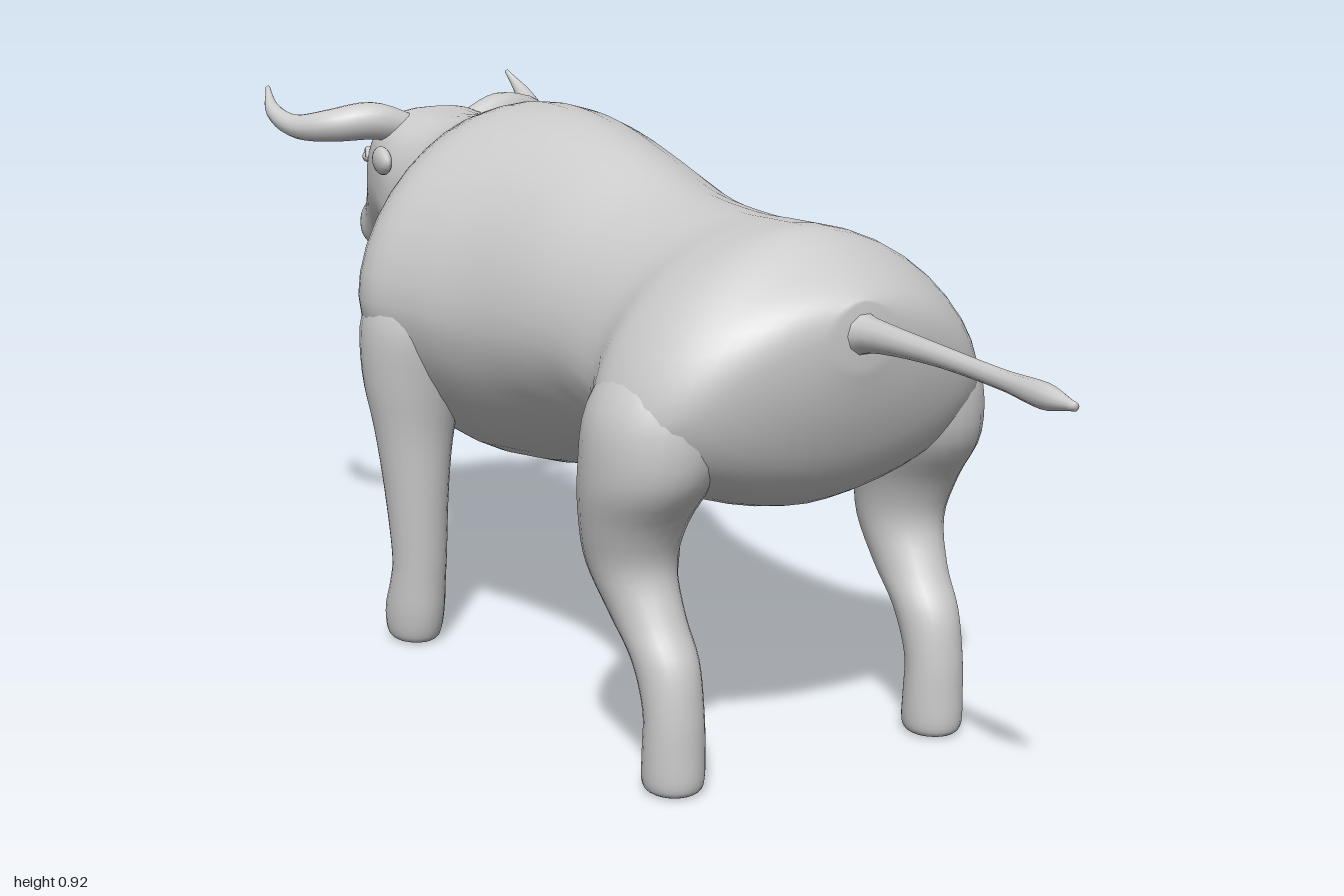
import * as THREE from 'three';

const grey = new THREE.MeshStandardMaterial({ color: 0xcccccc });

function add(group, geometry, name) {
  const mesh = new THREE.Mesh(geometry, grey);
  mesh.name = name;
  group.add(mesh);
  return mesh;
}

// Smooth value between rows of numbers (Catmull-Rom per column)
function blend(rows, t) {
  const n = rows.length - 1;
  const i = Math.min(Math.floor(t), n - 1), f = t - i;
  const [a, b, c, d] = [rows[Math.max(i - 1, 0)], rows[i], rows[i + 1], rows[Math.min(i + 2, n)]];
  return b.map((_, k) => 0.5 * (2 * b[k] + (c[k] - a[k]) * f
    + (2 * a[k] - 5 * b[k] + 4 * c[k] - d[k]) * f * f
    + (3 * b[k] - a[k] - 3 * c[k] + d[k]) * f * f * f));
}

// Closed skin over smoothly blended cross-sections, point(row, angle) -> [x, y, z]
function loft(rows, point, segs = 24, steps = 4) {
  const pos = [], idx = [], rings = (rows.length - 1) * steps + 1;
  for (let i = 0; i < rings; i++) {
    const row = blend(rows, i / steps);
    for (let j = 0; j < segs; j++) pos.push(...point(row, j / segs * Math.PI * 2));
  }
  const at = (i, j) => i * segs + (j % segs);
  for (let i = 0; i < rings - 1; i++) for (let j = 0; j < segs; j++) {
    idx.push(at(i, j), at(i + 1, j), at(i, j + 1), at(i, j + 1), at(i + 1, j), at(i + 1, j + 1));
  }
  // End caps
  for (const [ring, flip] of [[0, false], [rings - 1, true]]) {
    const c = [0, 0, 0];
    for (let j = 0; j < segs; j++) for (let k = 0; k < 3; k++) c[k] += pos[at(ring, j) * 3 + k] / segs;
    const centre = pos.length / 3;
    pos.push(...c);
    for (let j = 0; j < segs; j++) {
      idx.push(centre, flip ? at(ring, j + 1) : at(ring, j), flip ? at(ring, j) : at(ring, j + 1));
    }
  }
  // Turn the faces outward if the volume comes out negative
  const v = k => new THREE.Vector3().fromArray(pos, k * 3);
  let volume = 0;
  for (let k = 0; k < idx.length; k += 3) volume += v(idx[k]).dot(v(idx[k + 1]).cross(v(idx[k + 2])));
  if (volume < 0) idx.reverse();
  const g = new THREE.BufferGeometry();
  g.setAttribute('position', new THREE.Float32BufferAttribute(pos, 3));
  g.setIndex(idx);
  g.computeVertexNormals();
  return g;
}

const power = (v, n) => Math.sign(v) * Math.pow(Math.abs(v), 2 / n);

// Upright section: z, bottom, top, height of widest point, half width, lower roundness.
// The back is slightly ridged, the crown of the head squarer.
function trunkPoint([z, lo, hi, mid, w, n], a) {
  const s = Math.sin(a);
  const e = s > 0 ? 1.8 + 1.1 * THREE.MathUtils.smoothstep(-z, 0.58, 0.8) : n;
  return [w * power(Math.cos(a), e), mid + (s > 0 ? hi - mid : mid - lo) * power(s, e), z];
}

const trunk = [
  [0.54, 0.64, 0.735, 0.69, 0.05, 2],
  [0.515, 0.55, 0.755, 0.65, 0.16, 2],
  [0.47, 0.46, 0.782, 0.59, 0.258, 1.9],
  [0.40, 0.405, 0.82, 0.55, 0.313, 1.7],
  [0.31, 0.395, 0.822, 0.55, 0.318, 1.7],
  [0.21, 0.395, 0.82, 0.58, 0.262, 1.8],
  [0.05, 0.395, 0.835, 0.60, 0.238, 1.9],
  [-0.10, 0.37, 0.88, 0.60, 0.243, 1.9],
  [-0.22, 0.33, 0.91, 0.60, 0.262, 1.8],
  [-0.33, 0.312, 0.922, 0.61, 0.297, 1.7],
  [-0.43, 0.305, 0.92, 0.61, 0.325, 1.65],
  [-0.52, 0.34, 0.90, 0.61, 0.282, 1.75],
  [-0.60, 0.41, 0.88, 0.63, 0.192, 1.9],
  [-0.67, 0.50, 0.872, 0.67, 0.15, 2],
  [-0.74, 0.57, 0.872, 0.715, 0.137, 2],
  [-0.80, 0.59, 0.872, 0.74, 0.125, 2],
  [-0.85, 0.59, 0.845, 0.735, 0.11, 2],
  [-0.90, 0.582, 0.775, 0.69, 0.087, 2.1],
  [-0.94, 0.575, 0.715, 0.645, 0.073, 2.2],
  [-0.975, 0.588, 0.68, 0.635, 0.066, 2.2],
  [-0.993, 0.605, 0.657, 0.633, 0.045, 2.2],
  [-1.0, 0.62, 0.645, 0.633, 0.02, 2],
];

// Legs: y, x, z, half width, half depth; the tops sink into the body
const frontLeg = [
  [0.74, 0.16, -0.41, 0.03, 0.04],
  [0.67, 0.195, -0.412, 0.075, 0.085],
  [0.58, 0.227, -0.415, 0.094, 0.108],
  [0.48, 0.238, -0.418, 0.088, 0.092],
  [0.38, 0.243, -0.413, 0.068, 0.068],
  [0.28, 0.243, -0.41, 0.055, 0.057],
  [0.16, 0.24, -0.41, 0.047, 0.047],
  [0.11, 0.24, -0.418, 0.047, 0.05],
  [0.06, 0.24, -0.431, 0.049, 0.058],
  [0.02, 0.24, -0.436, 0.045, 0.054],
  [0.004, 0.24, -0.436, 0.035, 0.043],
  [0.002, 0.24, -0.436, 0.015, 0.02],
];
const hindLeg = [
  [0.74, 0.13, 0.35, 0.03, 0.04],
  [0.67, 0.175, 0.35, 0.085, 0.085],
  [0.58, 0.222, 0.35, 0.108, 0.115],
  [0.48, 0.243, 0.342, 0.098, 0.115],
  [0.40, 0.25, 0.315, 0.08, 0.088],
  [0.33, 0.248, 0.305, 0.066, 0.075],
  [0.26, 0.243, 0.34, 0.054, 0.066],
  [0.20, 0.24, 0.386, 0.049, 0.055],
  [0.13, 0.24, 0.409, 0.046, 0.045],
  [0.07, 0.24, 0.41, 0.047, 0.047],
  [0.02, 0.24, 0.408, 0.046, 0.049],
  [0.004, 0.24, 0.408, 0.036, 0.039],
  [0.002, 0.24, 0.408, 0.015, 0.018],
];

// Tapering round form along a curve: x, y, z, radius
function taper(rows, side, segs) {
  const curve = new THREE.CatmullRomCurve3(rows.map(r => new THREE.Vector3(r[0] * side, r[1], r[2])));
  const n = 24, frames = curve.computeFrenetFrames(n), centre = [];
  for (let i = 0; i <= n; i++) centre.push([i]);
  return loft(centre, ([f], a) => {
    const i = Math.round(f), u = i / n;
    const r = blend(rows, u * (rows.length - 1))[3];
    const p = curve.getPoint(u);
    p.addScaledVector(frames.normals[i], Math.cos(a) * r).addScaledVector(frames.binormals[i], Math.sin(a) * r);
    return p.toArray();
  }, segs, 1);
}

const hornPath = [
  [0.05, 0.835, -0.77, 0.026],
  [0.13, 0.856, -0.782, 0.034],
  [0.20, 0.849, -0.81, 0.029],
  [0.243, 0.845, -0.865, 0.021],
  [0.258, 0.868, -0.925, 0.014],
  [0.248, 0.905, -0.968, 0.004],
];
const tailPath = [
  [0, 0.685, 0.50, 0.045],
  [0, 0.69, 0.555, 0.026],
  [0, 0.69, 0.70, 0.016],
  [0, 0.683, 0.85, 0.014],
  [0, 0.678, 0.94, 0.018],
  [0, 0.676, 0.998, 0.006],
];

export function createModel() {
  const bull = new THREE.Group();
  bull.name = 'bull';
  add(bull, loft(trunk, trunkPoint, 40), 'bodyAndHead');
  add(bull, taper(tailPath, 1, 10), 'tail');

  for (const side of [1, -1]) {
    const tag = side > 0 ? 'Left' : 'Right';
    for (const [rows, name] of [[frontLeg, 'headEndLeg'], [hindLeg, 'tailEndLeg']]) {
      const ring = ([y, x, z, w, d], a) => [side * (x + w * Math.cos(a)), y, z + d * Math.sin(a)];
      add(bull, loft(rows, ring), name + tag);
    }
    add(bull, taper(hornPath, side, 14), 'horn' + tag);

    // Ear hanging back from the side of the poll
    const ear = add(bull, new THREE.SphereGeometry(1, 16, 12), 'ear' + tag);
    ear.scale.set(0.015, 0.025, 0.042);
    ear.position.set(side * 0.149, 0.795, -0.705);
    ear.rotation.y = side * 0.2;

    // Eye with a raised lid
    const eye = add(bull, new THREE.SphereGeometry(1, 14, 10), 'eye' + tag);
    eye.scale.set(0.01, 0.01, 0.02);
    eye.position.set(side * 0.102, 0.78, -0.86);
    eye.rotation.y = side * 0.4;
    const lid = add(bull, new THREE.TorusGeometry(0.021, 0.006, 8, 14, Math.PI), 'eyelid' + tag);
    lid.scale.y = 0.6;
    lid.position.set(side * 0.101, 0.782, -0.86);
    lid.rotation.y = side * (Math.PI / 2 + 0.4);
  }
  return bull;
}
